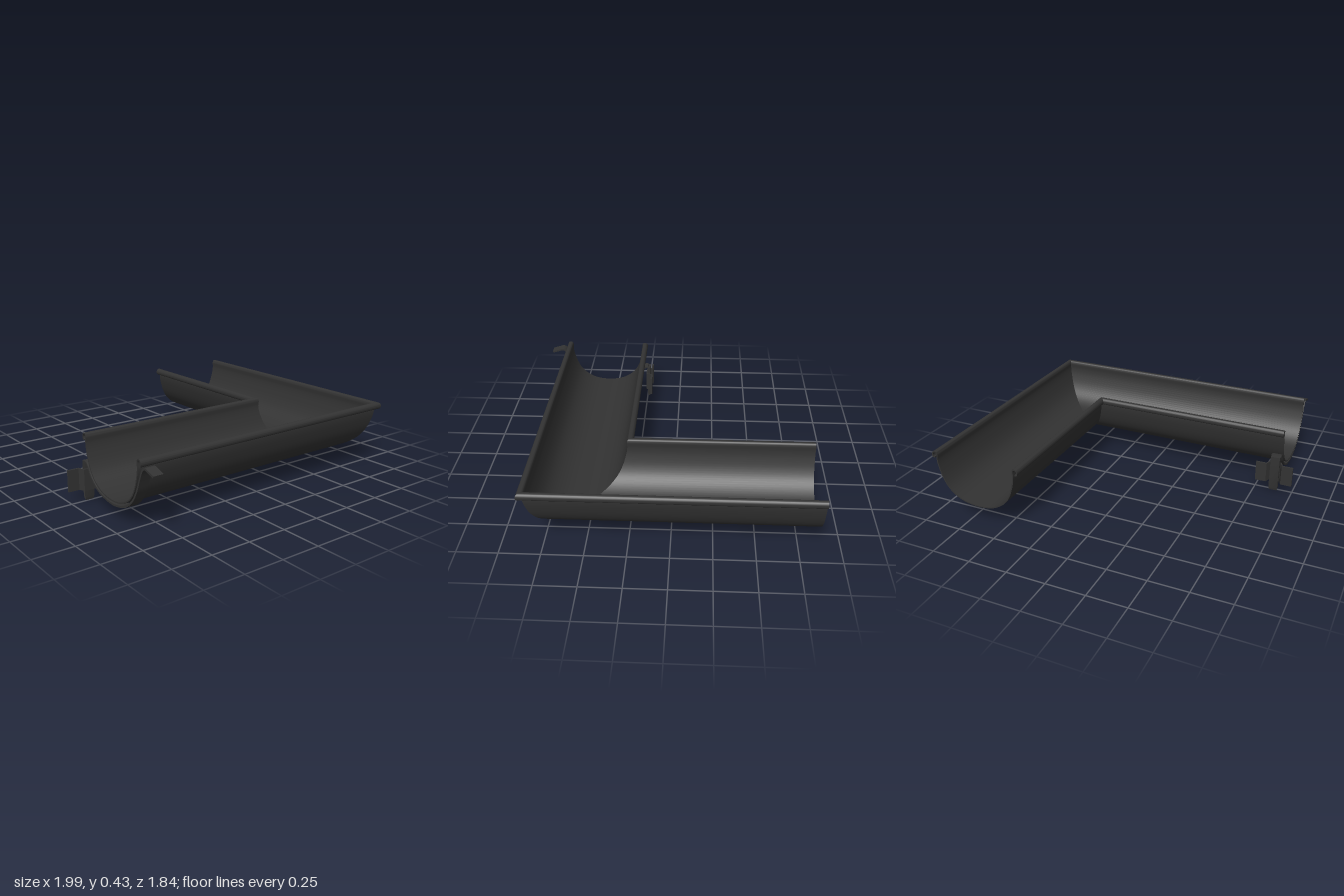
import * as THREE from 'three';
import { toCreasedNormals } from 'three/addons/utils/BufferGeometryUtils.js';

const metal = new THREE.MeshStandardMaterial({ color: 0x333333, side: THREE.DoubleSide });

// Closed outline of a strip of given thickness along a line of 2D points
function ribbon(points, thickness) {
  const sides = [1, -1].map((s) => points.map((p, i) => {
    const a = points[Math.max(i - 1, 0)], b = points[Math.min(i + 1, points.length - 1)];
    const t = b.clone().sub(a).normalize();
    return new THREE.Vector2(p.x - t.y * s * thickness / 2, p.y + t.x * s * thickness / 2);
  }));
  return new THREE.Shape([...sides[0], ...sides[1].reverse()]);
}

const smooth = (pts, n) =>
  new THREE.SplineCurve(pts.map(([x, y]) => new THREE.Vector2(x, y))).getPoints(n);

// Extrude a shape by one unit and place each vertex by a rule
function sweep(name, shape, place) {
  const geo = new THREE.ExtrudeGeometry(shape, { depth: 1, bevelEnabled: false });
  const pos = geo.attributes.position;
  for (let i = 0; i < pos.count; i++) {
    pos.setXYZ(i, ...place(pos.getX(i), pos.getY(i), pos.getZ(i)));
  }
  const mesh = new THREE.Mesh(toCreasedNormals(geo, 0.6), metal);
  mesh.name = name;
  return mesh;
}

function createModel() {
  const model = new THREE.Group();
  model.name = 'gutterCorner';

  // Half-round trough profile: distance from outer edge, height
  const W = 0.61, outerX = 0.992, outerZ = 0.858;
  const half = [
    [0.02, 0.386], [0.007, 0.39], [0.004, 0.408], [0.014, 0.422], [0.03, 0.421], [0.036, 0.405],
    [0.034, 0.37], [0.042, 0.32], [0.064, 0.25], [0.097, 0.192], [0.147, 0.147], [0.215, 0.116],
  ];
  const full = [...half, [W / 2, 0.105], ...half.map(([d, y]) => [W - d, y]).reverse()];
  const trough = ribbon(smooth(full, 110), 0.008);

  // Two legs meeting in a mitre
  model.add(sweep('frontGutter', trough, (d, y, t) =>
    [t > 0.5 ? outerX - d : -0.91, y, outerZ - d]));
  model.add(sweep('sideGutter', trough, (d, y, t) =>
    [outerX - d, y, t > 0.5 ? -0.87 : outerZ - d]));

  // Support bracket at the open end of the front leg
  const bracket = new THREE.Group();
  bracket.name = 'bracket';
  const strapLine = smooth([
    [0.97, 0.366], [0.93, 0.378], [0.893, 0.388], [0.867, 0.37], [0.84, 0.31], [0.812, 0.24],
    [0.768, 0.17], [0.70, 0.116], [0.62, 0.09], [0.54, 0.084], [0.45, 0.098], [0.38, 0.128],
    [0.32, 0.182], [0.283, 0.24], [0.245, 0.25],
  ], 70);
  bracket.add(sweep('strap', ribbon(strapLine, 0.012), (z, y, t) => [-0.845 - 0.065 * t, y, z]));

  // Stem with a narrowed foot
  const stemOutline = new THREE.Shape([
    [0.226, 0.255], [0.226, 0.03], [0.233, 0.008], [0.242, 0.008], [0.248, 0.03], [0.248, 0.255],
  ].map(([z, y]) => new THREE.Vector2(z, y)));
  bracket.add(sweep('stem', stemOutline, (z, y, t) => {
    const w = y < 0.02 ? 0.024 : 0.03;
    return [-0.876 + w * (1 - 2 * t), y - 0.008, z];
  }));

  // Wall plate, bent around the stem
  const plateLine = [
    [-1, 0.215], [-0.928, 0.215], [-0.912, 0.252], [-0.84, 0.252], [-0.824, 0.215], [-0.755, 0.215],
  ].map(([x, z]) => new THREE.Vector2(x, z));
  bracket.add(sweep('wallPlate', ribbon(plateLine, 0.012), (x, z, t) => [x, 0.2 - 0.135 * t, z]));

  model.add(bracket);
  return model;
}

export { createModel };
